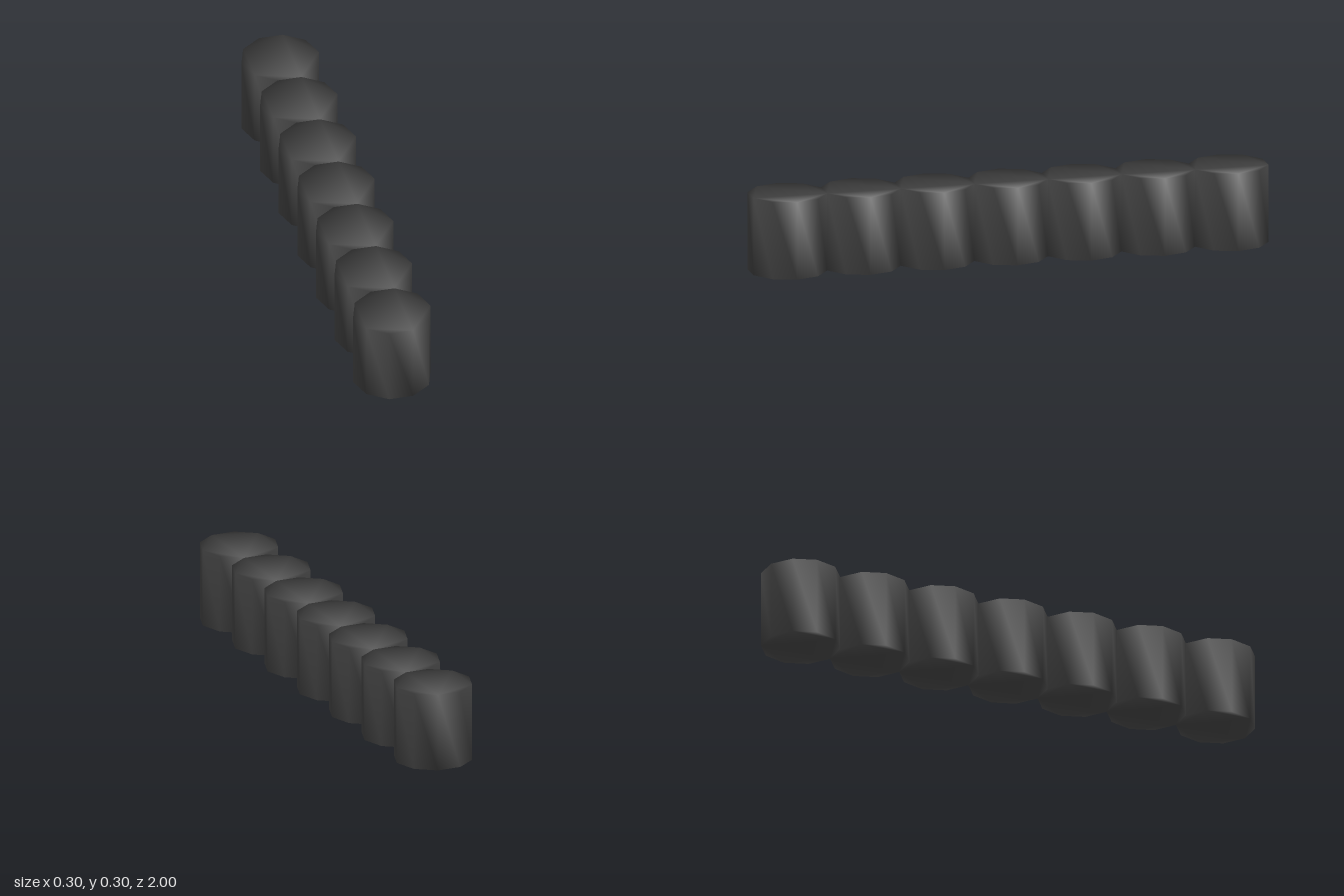
import * as THREE from 'three';
import { mergeVertices } from 'three/addons/utils/BufferGeometryUtils.js';

const COUNT = 7, SIDES = 10, HEIGHT = 0.3;
const SPACING = 2 / COUNT;
// Neighbouring prisms touch along their flat sides
const RADIUS = SPACING / 2 / Math.cos(Math.PI / SIDES);

// Ten-sided prism with corners on +x and -x, shaded smoothly over all its edges
function smoothPrism() {
  const outline = new THREE.Shape();
  for (let i = 0; i < SIDES; i++) {
    const a = (i / SIDES) * Math.PI * 2;
    const x = RADIUS * Math.cos(a), y = RADIUS * Math.sin(a);
    if (i === 0) outline.moveTo(x, y);
    else outline.lineTo(x, y);
  }
  outline.closePath();

  const prism = new THREE.ExtrudeGeometry(outline, { depth: HEIGHT, bevelEnabled: false });
  prism.rotateX(-Math.PI / 2);
  prism.clearGroups();
  prism.deleteAttribute('uv');
  prism.deleteAttribute('normal');
  const welded = mergeVertices(prism, 1e-4);
  welded.computeVertexNormals();
  return welded;
}

export function createModel() {
  const group = new THREE.Group();
  group.name = 'postRow';

  const charcoal = new THREE.MeshStandardMaterial({ color: 0x404040 });
  charcoal.name = 'charcoal';

  // Row of short posts from back to front
  const geometry = smoothPrism();
  for (let i = 0; i < COUNT; i++) {
    const post = new THREE.Mesh(geometry, charcoal);
    post.name = `post${i + 1}`;
    post.position.z = (i - (COUNT - 1) / 2) * SPACING;
    group.add(post);
  }
  return group;
}
